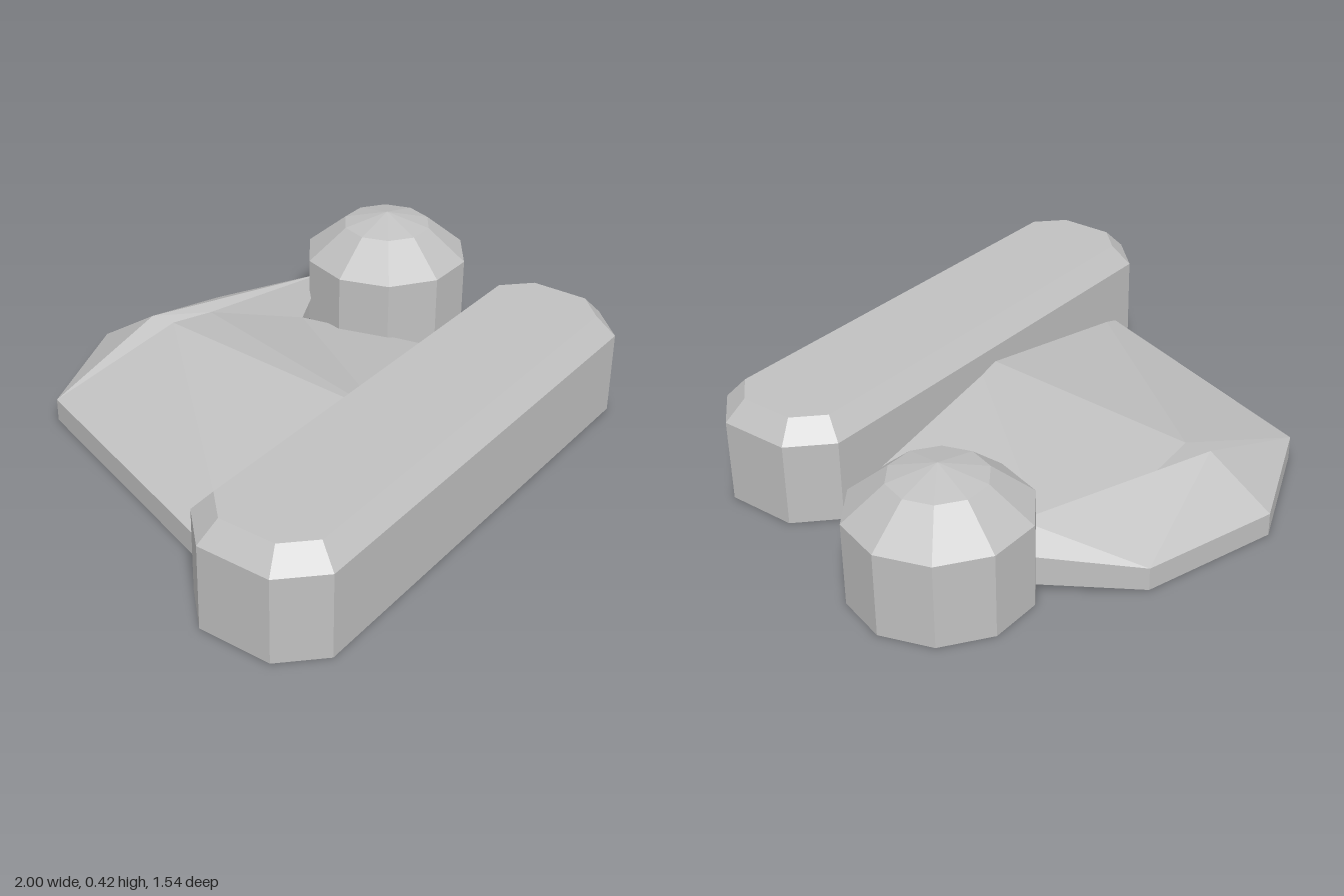
import * as THREE from 'three';

const grey = new THREE.MeshStandardMaterial({ color: 0xc0c0c0 });
grey.name = 'grey';

// Mesh from corner points and triangles, with one flat normal per face
function facetMesh(name, points, triangles) {
  const geometry = new THREE.BufferGeometry();
  geometry.setAttribute('position', new THREE.Float32BufferAttribute(triangles.flat().flatMap(i => points[i]), 3));
  geometry.computeVertexNormals();
  const mesh = new THREE.Mesh(geometry, grey);
  mesh.name = name;
  return mesh;
}

// Stack of equal rings, closed at both ends; rings turn anticlockwise seen from above
function stackMesh(name, rings) {
  const n = rings[0].length, points = rings.flat(), triangles = [];
  const mid = ring => [0, 1, 2].map(k => ring.reduce((sum, p) => sum + p[k], 0) / n);
  const bottom = points.push(mid(rings[0])) - 1;
  const top = points.push(mid(rings[rings.length - 1])) - 1;
  const last = (rings.length - 1) * n;
  for (let i = 0; i < n; i++) {
    const j = (i + 1) % n;
    triangles.push([bottom, j, i], [top, last + i, last + j]);
    for (let r = 0; r < last; r += n)
      triangles.push([r + i, r + j, r + n + j], [r + i, r + n + j, r + n + i]);
  }
  return facetMesh(name, points, triangles);
}

// Rectangle with cut corners around the band's centre
function bandRing(y, halfX, halfZ, cut) {
  const cx = -0.12, cz = 0.535, a = halfX - cut, b = halfZ - cut;
  return [[-a, halfZ], [a, halfZ], [halfX, b], [halfX, -b], [a, -halfZ], [-a, -halfZ], [-halfX, -b], [-halfX, b]]
    .map(([x, z]) => [cx + x, y, cz + z]);
}

// Ten-sided ring of the ball
function ballRing(y, radius) {
  return Array.from({ length: 10 }, (_, i) => {
    const t = i * Math.PI / 5;
    return [0.72 + radius * Math.cos(t), y, -0.155 - radius * Math.sin(t)];
  });
}

// Cloth: a ridged body whose drooping tip folds over towards the ball
function clothMesh() {
  const rim = [
    [-0.836, 0.075, 0.4], [0.59, 0.075, 0.4], [0.44, 0.075, -0.31], [0.61, 0.135, -0.38],
    [0.385, 0.075, -0.64], [-0.055, 0.075, -0.775], [-0.47, 0.075, -0.61]];
  const base = rim.map(([x, y, z], i) => [x, i === 3 ? 0.04 : 0, z]);
  const inner = [
    [-0.11, 0.215, 0.4], [-0.05, 0.215, -0.475], [0.13, 0.18, -0.465],
    [-0.055, 0.215, -0.56], [0.557, 0.2, -0.31]];
  const [A, C, R, E, F, G, B] = [0, 1, 2, 3, 4, 5, 6];
  const [K, M, N, P, Q] = [14, 15, 16, 17, 18];
  const triangles = [
    // body
    [A, K, M], [A, M, B], [K, C, R], [K, R, N], [K, N, M], [B, M, N], [A, C, K],
    // inside of the fold
    [B, N, P], [N, Q, P], [N, R, Q],
    // outside of the fold
    [B, P, G], [P, F, G], [P, Q, F], [Q, E, F], [R, E, Q]];
  // side walls
  for (let i = 0; i < 7; i++) {
    const j = (i + 1) % 7;
    triangles.push([7 + i, 7 + j, j], [7 + i, j, i]);
  }
  // underside
  for (const [a, b] of [[A, C], [C, R], [R, E], [E, F], [F, G]]) triangles.push([7 + B, 7 + b, 7 + a]);
  return facetMesh('foldedCloth', [...rim, ...base, ...inner], triangles);
}

export function createModel() {
  const model = new THREE.Group();
  model.name = 'hat';
  model.add(
    stackMesh('brimBand', [bandRing(0, 0.88, 0.235, 0.117), bandRing(0.27, 0.88, 0.235, 0.117), bandRing(0.335, 0.82, 0.177, 0.085)]),
    clothMesh(),
    stackMesh('pompom', [ballRing(0, 0.28), ballRing(0.27, 0.28), ballRing(0.378, 0.15), ballRing(0.418, 0.001)]));
  return model;
}
